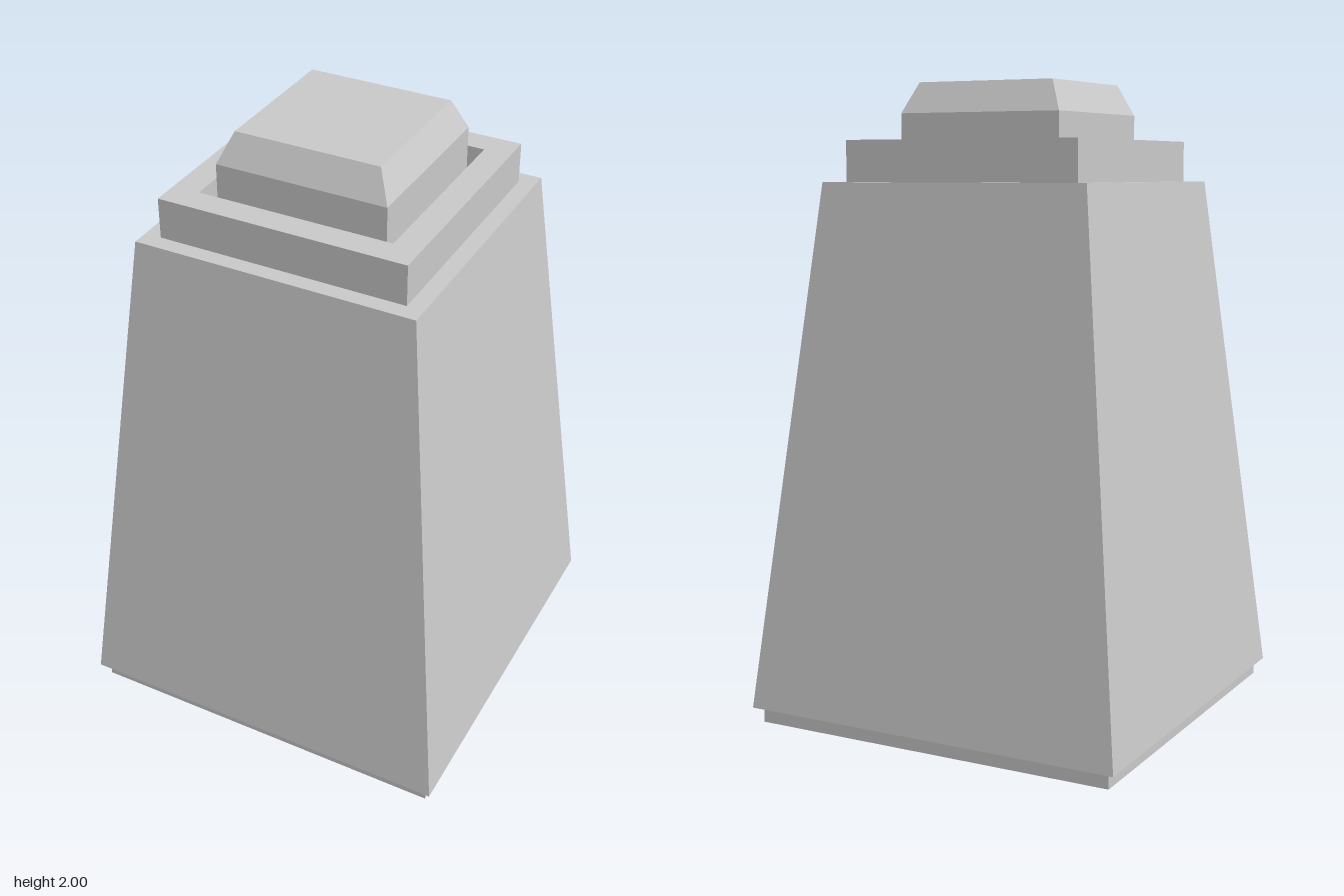
import * as THREE from 'three';

const material = new THREE.MeshStandardMaterial({ color: 0xcccccc, flatShading: true });

// Square block between two heights, given half widths at bottom and top
function squareBlock(name, y0, y1, half0, half1 = half0) {
  const geometry = new THREE.CylinderGeometry(half1 * Math.SQRT2, half0 * Math.SQRT2, y1 - y0, 4);
  geometry.rotateY(Math.PI / 4);
  geometry.translate(0, (y0 + y1) / 2, 0);
  const mesh = new THREE.Mesh(geometry, material);
  mesh.name = name;
  return mesh;
}

function squarePoints(half) {
  return [[-1, -1], [1, -1], [1, 1], [-1, 1]].map(([x, y]) => new THREE.Vector2(x * half, y * half));
}

// Square ring with an open middle
function squareRing(name, y0, y1, outer, inner) {
  const shape = new THREE.Shape(squarePoints(outer));
  shape.holes.push(new THREE.Path(squarePoints(inner).reverse()));
  const geometry = new THREE.ExtrudeGeometry(shape, { depth: y1 - y0, bevelEnabled: false });
  geometry.rotateX(-Math.PI / 2);
  geometry.translate(0, y0, 0);
  const mesh = new THREE.Mesh(geometry, material);
  mesh.name = name;
  return mesh;
}

export function createModel() {
  const model = new THREE.Group();
  model.name = 'taperedPedestal';

  // Recessed foot and tapering body
  model.add(squareBlock('foot', 0, 0.05, 0.6));
  model.add(squareBlock('body', 0.05, 1.695, 0.625, 0.448));

  // Hollow collar around the cap
  model.add(squareRing('collar', 1.695, 1.823, 0.395, 0.31));

  // Cap standing inside the collar, with a bevelled top
  const cap = new THREE.Group();
  cap.name = 'cap';
  cap.add(squareBlock('capBase', 1.695, 1.905, 0.272));
  cap.add(squareBlock('capBevel', 1.905, 2, 0.272, 0.23));
  model.add(cap);

  return model;
}
